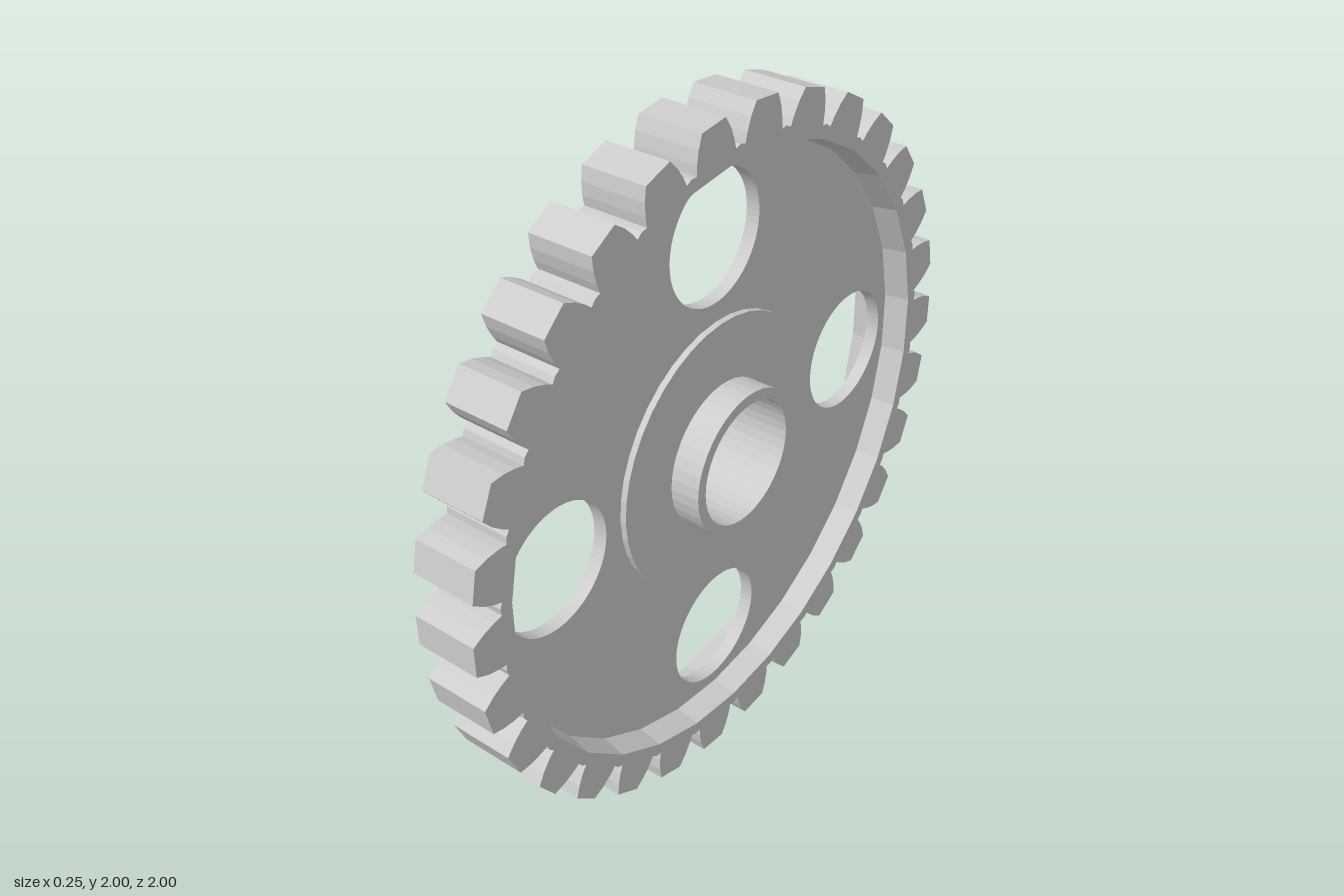
import * as THREE from 'three';

const TEETH = 30;
const PITCH = (Math.PI * 2) / TEETH;
const HALF_WIDTH = 0.093;   // half thickness of the toothed rim
const WEB_HALF = 0.02;      // half thickness of the web plate
const RIM_FACE_R = 0.873;   // rim inner radius at its faces
const RIM_MID_R = 0.857;    // rim inner radius at mid thickness (draft)

const material = new THREE.MeshStandardMaterial({ color: 0xcccccc, flatShading: true });

// Regular polygon whose corners sit between the teeth
function polygonPoints(radius) {
  return Array.from({ length: TEETH }, (_, i) => {
    const a = (i + 0.5) * PITCH;
    return new THREE.Vector2(Math.cos(a) * radius, Math.sin(a) * radius);
  });
}

// Round hole for a shape
function hole(x, y, radius) {
  return new THREE.Path().absarc(x, y, radius, 0, Math.PI * 2, true);
}

// Extrudes a shape centred on its plane, with the axis turned onto x
function plate(shape, thickness, steps = 1) {
  const geo = new THREE.ExtrudeGeometry(shape, {
    depth: thickness, steps, bevelEnabled: false, curveSegments: 32,
  });
  return geo.translate(0, 0, -thickness / 2);
}

// Outline of all teeth: half of one tooth as [distance out, half width], mirrored
function toothOutline() {
  const flank = [[0.903, 0.076], [0.93, 0.072], [0.965, 0.062], [1.0, 0.045]];
  const tooth = [
    ...flank.map(([r, w]) => [r, -w]),
    ...flank.slice().reverse(),
  ];
  const points = [];
  for (let i = 0; i < TEETH; i++) {
    const a = i * PITCH;
    for (const [r, w] of tooth) {
      points.push(new THREE.Vector2(r, w).rotateAround(new THREE.Vector2(), a));
    }
    // root point in the middle of the gap
    points.push(new THREE.Vector2(0.911, 0).rotateAround(new THREE.Vector2(), a + PITCH / 2));
  }
  return points;
}

// Toothed rim, its inner wall drawn in at mid thickness
function rimGeometry() {
  const shape = new THREE.Shape(toothOutline());
  shape.holes.push(new THREE.Path(polygonPoints(RIM_FACE_R).reverse()));
  const geo = plate(shape, HALF_WIDTH * 2, 2);
  const p = geo.attributes.position;
  for (let i = 0; i < p.count; i++) {
    const r = Math.hypot(p.getX(i), p.getY(i));
    if (r < 0.885 && Math.abs(p.getZ(i)) < 0.01) {
      const k = RIM_MID_R / r;
      p.setXY(i, p.getX(i) * k, p.getY(i) * k);
    }
  }
  geo.computeVertexNormals();
  return geo.rotateY(Math.PI / 2);
}

// Thin web with four lightening holes
function webGeometry() {
  const shape = new THREE.Shape(polygonPoints(0.861));
  shape.holes.push(hole(0, 0, 0.38));
  for (let i = 0; i < 4; i++) {
    const a = (i * Math.PI) / 2;
    shape.holes.push(hole(Math.cos(a) * 0.64, Math.sin(a) * 0.64, 0.184));
  }
  return plate(shape, WEB_HALF * 2).rotateY(Math.PI / 2);
}

// Raised disc and bored hub sleeve in one turned profile
function hubGeometry() {
  const disc = 0.038, end = 0.126;
  const profile = [
    [0.4, -disc], [0.4, disc], [0.214, disc], [0.214, end], [0.182, end],
    [0.182, -end], [0.214, -end], [0.214, -disc], [0.4, -disc],
  ].map(([r, h]) => new THREE.Vector2(r, h));
  return new THREE.LatheGeometry(profile, 40).rotateZ(Math.PI / 2);
}

export function createModel() {
  const group = new THREE.Group();
  group.name = 'spurGear';
  const add = (name, geometry) => {
    const mesh = new THREE.Mesh(geometry, material);
    mesh.name = name;
    mesh.position.y = 0.998;
    group.add(mesh);
  };
  add('toothedRim', rimGeometry());
  add('web', webGeometry());
  add('hub', hubGeometry());
  return group;
}
